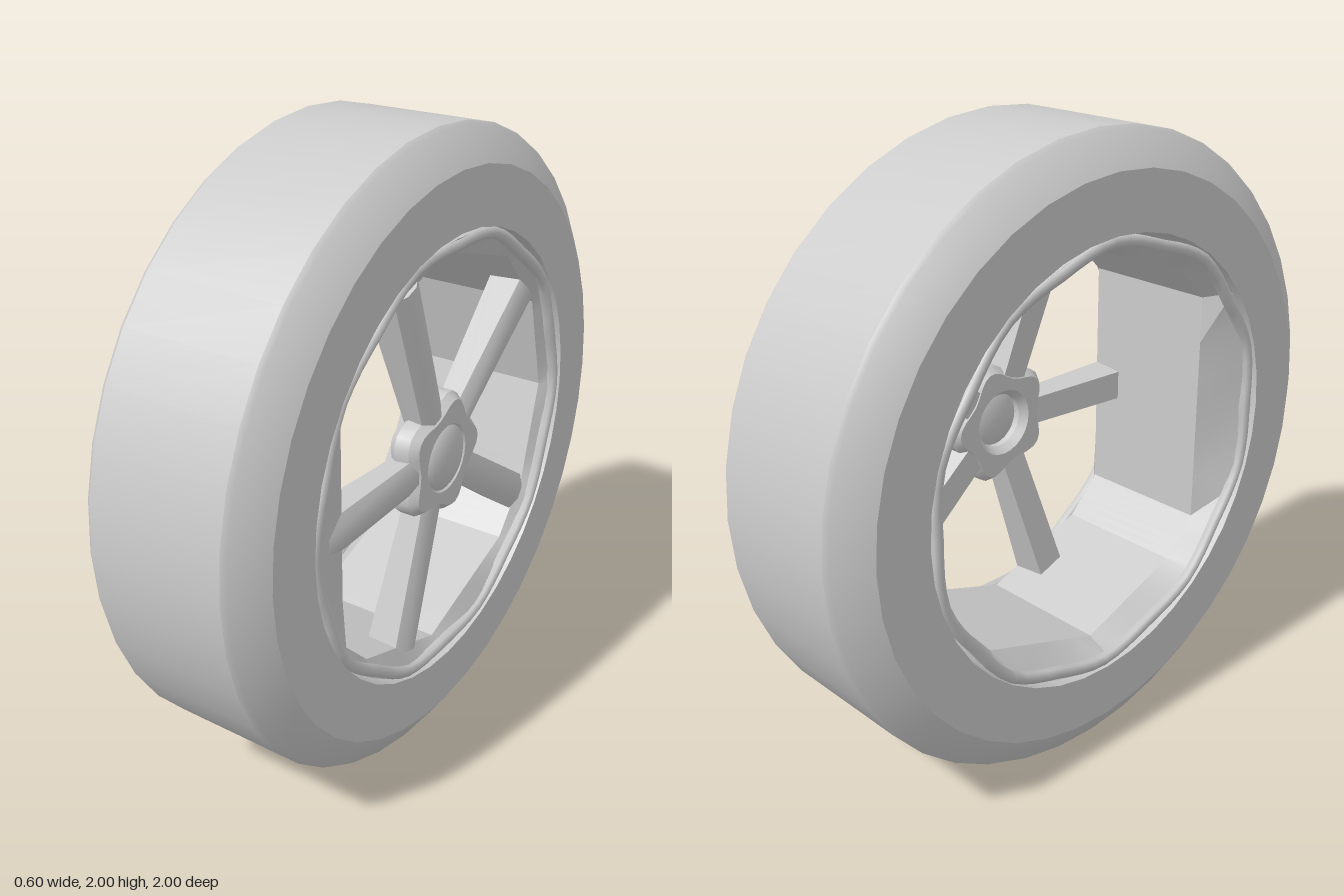
import * as THREE from 'three';
import { toCreasedNormals } from 'three/addons/utils/BufferGeometryUtils.js';

const rad = THREE.MathUtils.degToRad;
const smooth = new THREE.MeshStandardMaterial({ color: 0xcccccc });
const twoSided = new THREE.MeshStandardMaterial({ color: 0xcccccc, side: THREE.DoubleSide });

function part(name, geometry, material = smooth) {
  const mesh = new THREE.Mesh(geometry, material);
  mesh.name = name;
  return mesh;
}

// Point on a ring around the x axis; 0 degrees points to -z, 90 points up
const ringPoint = (x, r, deg) => [x, r * Math.sin(rad(deg)), -r * Math.cos(rad(deg))];

// Closed profile (radius, axial position) turned around the x axis
function tire() {
  const profile = [
    [0.71, -0.3], [0.89, -0.3], [0.99, -0.235], [1, -0.22],
    [1, 0.22], [0.99, 0.235], [0.89, 0.3], [0.71, 0.3], [0.71, -0.3],
  ].map(([r, a]) => new THREE.Vector2(r, a));
  const geometry = new THREE.LatheGeometry(profile, 40);
  geometry.rotateZ(-Math.PI / 2);
  return toCreasedNormals(geometry, rad(25));
}

// Coarse, uneven barrel that flares out to a rounder edge on each side
function barrel() {
  const angles = [0, 30, 55, 90, 128, 143, 217, 232, 268, 310, 330];
  const steps = 6;
  const sections = [[0.29, true], [0.25, false], [-0.2, false], [-0.29, true]];
  const positions = [], index = [];
  const count = angles.length * steps;
  for (const [x, round] of sections) {
    angles.forEach((a, i) => {
      const b = angles[(i + 1) % angles.length] + (i === angles.length - 1 ? 360 : 0);
      for (let s = 0; s < steps; s++) {
        const t = s / steps, half = (b - a) / 2;
        const flat = 0.65 * Math.cos(rad(half)) / Math.cos(rad((2 * t - 1) * half));
        positions.push(...ringPoint(x, round ? 0.695 : flat, a + (b - a) * t));
      }
    });
  }
  for (let j = 0; j < sections.length - 1; j++) {
    for (let i = 0; i < count; i++) {
      const a = j * count + i, b = j * count + (i + 1) % count;
      index.push(a, b, a + count, b, b + count, a + count);
    }
  }
  const geometry = new THREE.BufferGeometry();
  geometry.setAttribute('position', new THREE.Float32BufferAttribute(positions, 3));
  geometry.setIndex(index);
  return toCreasedNormals(geometry, rad(20));
}

// Thin, slightly wavy bead along the edge of the rim
function lip(x, phase) {
  const points = [];
  for (let i = 0; i < 40; i++) {
    const deg = i * 9;
    points.push(new THREE.Vector3(...ringPoint(x, 0.682 + 0.009 * Math.cos(rad(deg * 10 + phase)), deg)));
  }
  return new THREE.TubeGeometry(new THREE.CatmullRomCurve3(points, true), 80, 0.02, 6, true);
}

// Spoke along +y: ridged front, growing deeper towards the rim
function spoke() {
  const shape = new THREE.Shape();
  [[0.27, 0.02], [0.25, 0.055], [0.18, 0.045], [0.18, -0.045], [0.25, -0.055], [0.27, -0.02]]
    .forEach(([x, z], i) => (i ? shape.lineTo(x, z) : shape.moveTo(x, z)));
  const geometry = new THREE.ExtrudeGeometry(shape, { depth: 0.5, bevelEnabled: false });
  geometry.rotateX(-Math.PI / 2).translate(0, 0.13, 0);
  const p = geometry.attributes.position;
  for (let i = 0; i < p.count; i++) {
    if (p.getY(i) < 0.4) continue;
    if (p.getX(i) < 0.2) p.setX(i, 0.14);
    p.setZ(i, p.getZ(i) * 1.12);
  }
  geometry.computeVertexNormals();
  return toCreasedNormals(geometry, rad(30));
}

// Scalloped hub ring with a lobe between each pair of spokes
function hubRing() {
  const shape = new THREE.Shape();
  for (let i = 0; i < 40; i++) {
    const a = rad(i * 9);
    const r = 0.187 + 0.02 * Math.cos(5 * (a - rad(73)));
    shape[i ? 'lineTo' : 'moveTo'](r * Math.cos(a), r * Math.sin(a));
  }
  shape.closePath();
  shape.holes.push(new THREE.Path().absarc(0, 0, 0.09, 0, Math.PI * 2, true));
  const geometry = new THREE.ExtrudeGeometry(shape, {
    depth: 0.05, bevelThickness: 0.025, bevelSize: 0.02, bevelOffset: -0.02, bevelSegments: 1,
  });
  geometry.rotateY(Math.PI / 2).translate(0.2, 0, 0);
  return toCreasedNormals(geometry, rad(30));
}

export function createModel() {
  const model = new THREE.Group();
  model.name = 'wheel';
  const wheel = new THREE.Group();
  wheel.name = 'wheelAssembly';
  wheel.position.y = 1;
  model.add(wheel);

  wheel.add(part('tire', tire()));
  wheel.add(part('rimBarrel', barrel(), twoSided));
  wheel.add(part('outerLip', lip(0.28, 0)), part('innerLip', lip(-0.28, 180)));

  // Five spokes, evenly spaced
  const spokeGeometry = spoke();
  for (let i = 0; i < 5; i++) {
    const mesh = part('spoke', spokeGeometry);
    mesh.rotation.x = rad(37 + 72 * i - 90);
    wheel.add(mesh);
  }

  // Hub with a shallow domed cap
  wheel.add(part('hub', hubRing()));
  const cap = part('hubCap', new THREE.SphereGeometry(0.115, 24, 14));
  cap.scale.x = 0.4;
  cap.position.x = 0.25;
  wheel.add(cap);
  return model;
}
